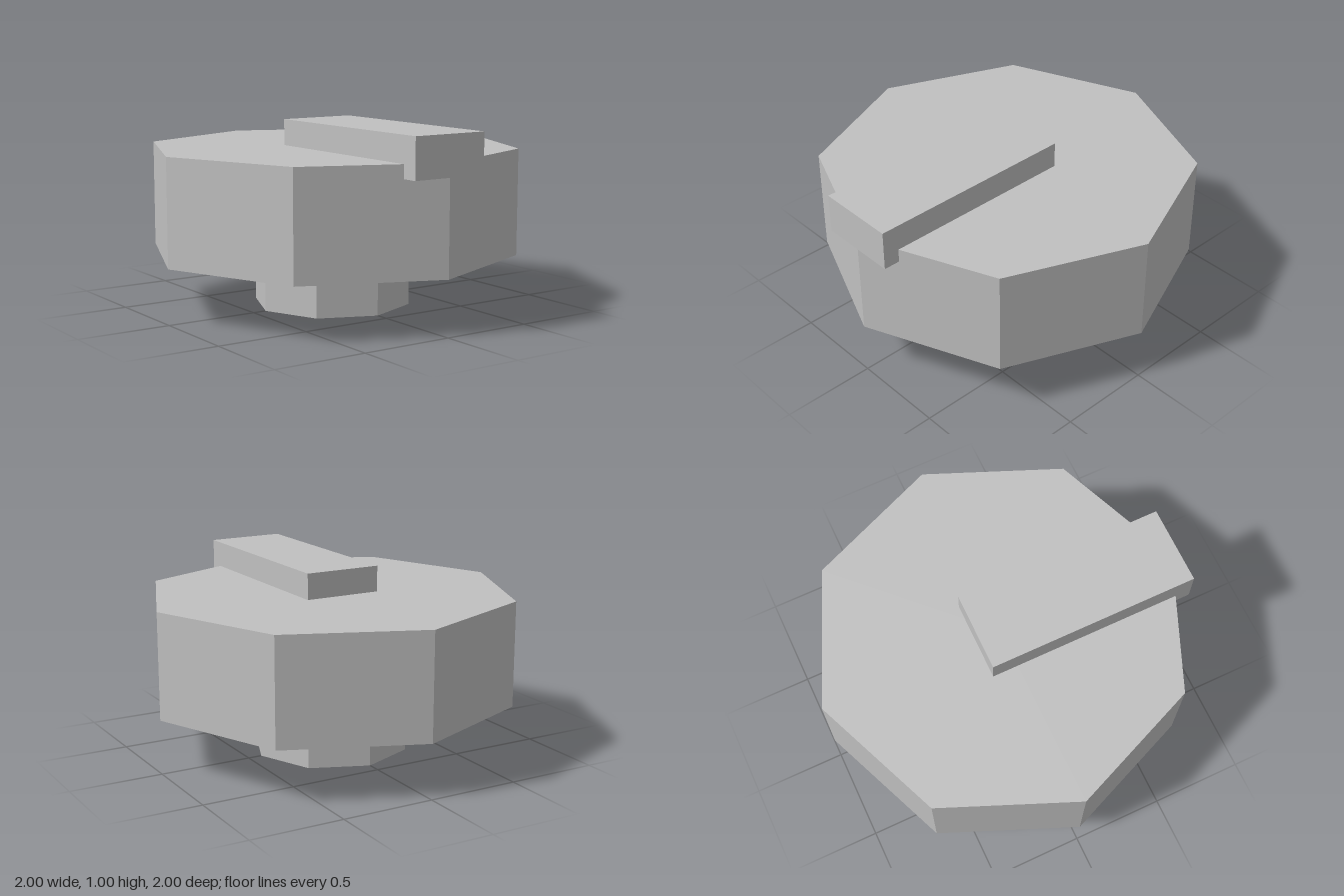
import * as THREE from 'three';

export function createModel() {
  const model = new THREE.Group();
  const grey = new THREE.MeshStandardMaterial({ color: 0xc0c0c0, flatShading: true });
  grey.name = 'light grey';

  const add = (name, geometry, y, z = 0) => {
    const mesh = new THREE.Mesh(geometry, grey);
    mesh.name = name;
    mesh.position.set(0, y, z);
    model.add(mesh);
  };
  // Eight-sided prism with a corner facing the front
  const octagon = (radius, height) => new THREE.CylinderGeometry(radius, radius, height, 8);

  // Narrow stem under the wide knob
  add('stem', octagon(0.425, 0.29), 0.145);
  add('knobBody', octagon(1, 0.57), 0.575);

  // Pointer bar sunk into the top, reaching the front corner
  add('pointerBar', new THREE.BoxGeometry(0.424, 0.212, 1.14), 0.894, 0.43);

  return model;
}
